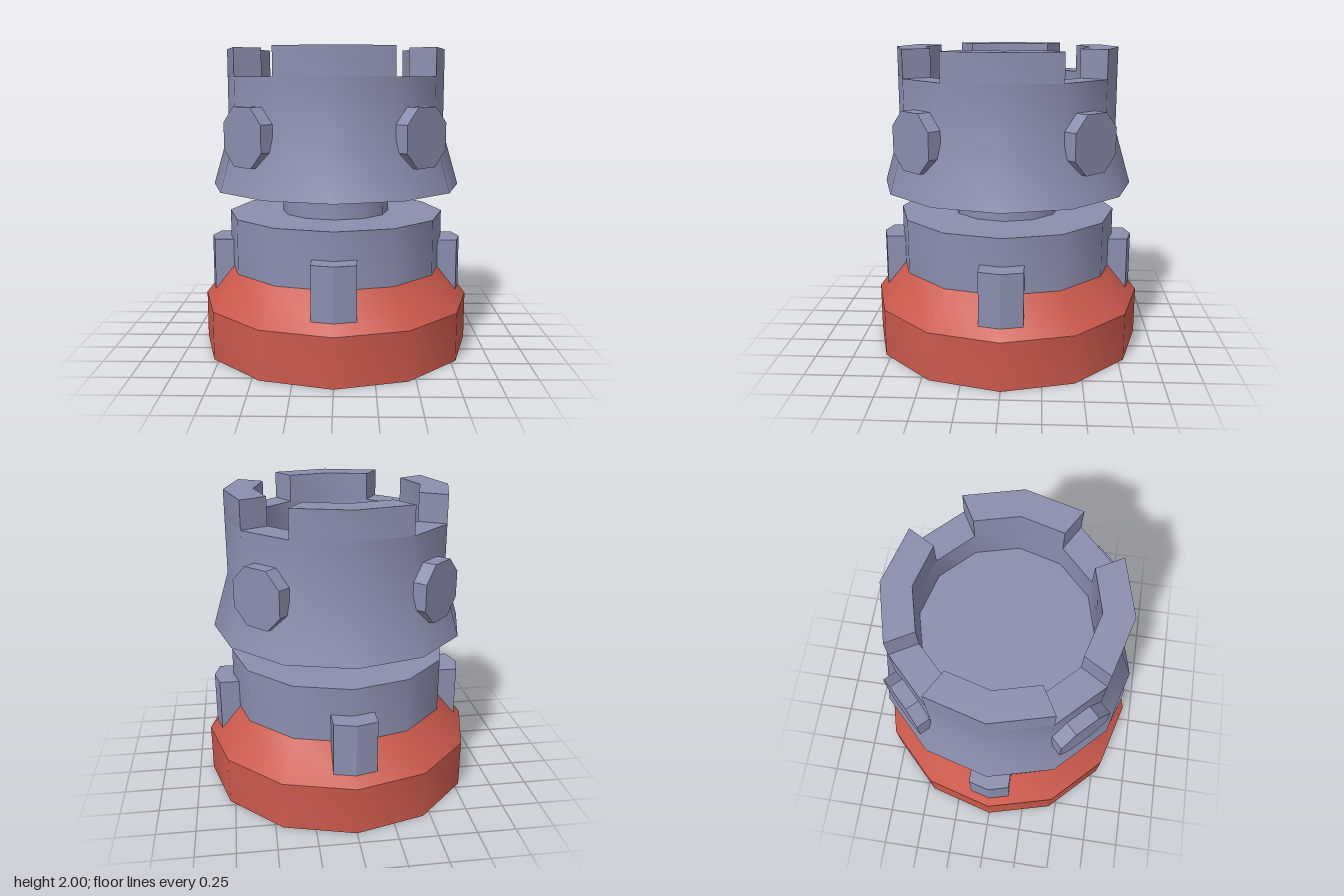
import * as THREE from 'three';
import { toCreasedNormals } from 'three/addons/utils/BufferGeometryUtils.js';

const SIDES = 12;
const CREASE = 0.61; // smooth around the 12 sides, sharp at the rims

export function createModel() {
  const model = new THREE.Group();
  model.name = 'rookTower';
  const stone = new THREE.MeshStandardMaterial({ color: 0x8b8fae });
  stone.name = 'blueGreyStone';
  const red = new THREE.MeshStandardMaterial({ color: 0xcb594b });
  red.name = 'redBase';

  const add = (name, geometry, material, turn = 0) => {
    const mesh = new THREE.Mesh(geometry, material);
    mesh.name = name;
    mesh.rotation.y = turn;
    model.add(mesh);
    return mesh;
  };

  // Twelve-sided turned solid from [radius, y] pairs, bottom to top
  const turned = (profile) => toCreasedNormals(
    new THREE.LatheGeometry(profile.map(([r, y]) => new THREE.Vector2(r, y)), SIDES), CREASE);

  // Plan outline of [x, z] pairs raised from y0 to y1
  const raised = (plan, y0, y1) => {
    const shape = new THREE.Shape(plan.map(([x, z]) => new THREE.Vector2(x, z)));
    return new THREE.ExtrudeGeometry(shape, { depth: y1 - y0, bevelEnabled: false })
      .rotateX(-Math.PI / 2).translate(0, y0, 0);
  };

  // Base, body and neck
  add('base', turned([[0, 0], [0.907, 0], [0.907, 0.32], [0.727, 0.547], [0, 0.547]]), red);
  add('body', turned([[0, 0.5], [0.727, 0.5], [0.727, 0.91], [0, 0.91]]), stone);
  add('neck', turned([[0, 0.9], [0.362, 0.9], [0.362, 1.05], [0.26, 1.1], [0, 1.1]]), stone);

  // Flared head with a sunken floor
  add('head', turned([
    [0, 1.095], [0.835, 1.095], [0.727, 1.46], [0.727, 1.82],
    [0.54, 1.82], [0.54, 1.62], [0, 1.62],
  ]), stone);

  // Plan of one battlement: two wall faces with radial ends
  const polar = (r, degrees) => {
    const a = THREE.MathUtils.degToRad(degrees);
    return [r * Math.cos(a), r * Math.sin(a)];
  };
  const battlementPlan = [
    ...[-30, 0, 30].map((d) => polar(0.727, d)),
    ...[30, 0, -30].map((d) => polar(0.54, d)),
  ];
  const battlement = toCreasedNormals(raised(battlementPlan, 1.82, 2), CREASE);

  // Rib with a pointed outer face, rising out of the sloping base
  const rib = raised([[0.6, -0.137], [0.819, -0.137], [0.855, 0], [0.819, 0.137], [0.6, 0.137]], 0.37, 0.73);

  // Eight-sided boss set on the diagonals of the head
  const h = 0.184, c = 0.084;
  const outline = [[h, -c], [h, c], [c, h], [-c, h], [-h, c], [-h, -c], [-c, -h], [c, -h]];
  const boss = new THREE.ExtrudeGeometry(
    new THREE.Shape(outline.map(([x, y]) => new THREE.Vector2(x, y))),
    { depth: 0.13, bevelEnabled: false }).translate(0, 1.455, 0.662);

  for (let i = 0; i < 4; i++) {
    const turn = i * Math.PI / 2;
    add('battlement', battlement, stone, turn);
    add('rib', rib, stone, turn);
    add('boss', boss, stone, turn + Math.PI / 4);
  }
  return model;
}
